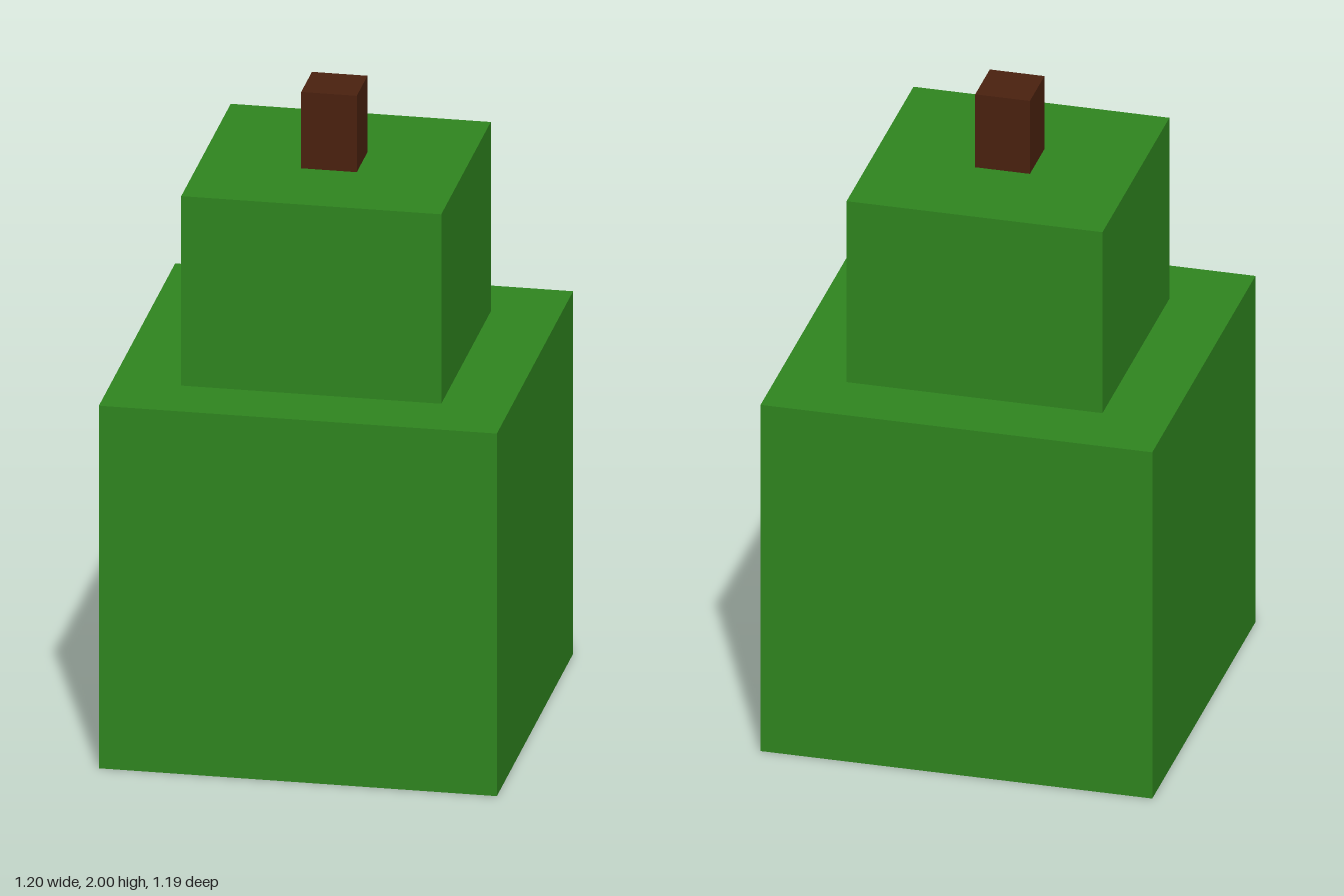
import * as THREE from 'three';

const GREEN = 0x2f851f;
const BROWN = 0x4a210f;

// A box standing on height y0 and reaching y1
function block(name, color, width, depth, y0, y1, x = 0, z = 0) {
  const mesh = new THREE.Mesh(
    new THREE.BoxGeometry(width, y1 - y0, depth),
    new THREE.MeshStandardMaterial({ color, flatShading: true })
  );
  mesh.name = name;
  mesh.position.set(x, (y0 + y1) / 2, z);
  return mesh;
}

export function createModel() {
  const group = new THREE.Group();
  group.name = 'steppedBlocks';
  group.add(
    // Wide lower block
    block('lowerBlock', GREEN, 1.203, 1.19, 0, 1.154),
    // Narrower block on top of it
    block('upperBlock', GREEN, 0.786, 0.772, 1.154, 1.757),
    // Small stem, slightly off centre
    block('stem', BROWN, 0.168, 0.168, 1.757, 2, -0.003, 0.01)
  );
  return group;
}
